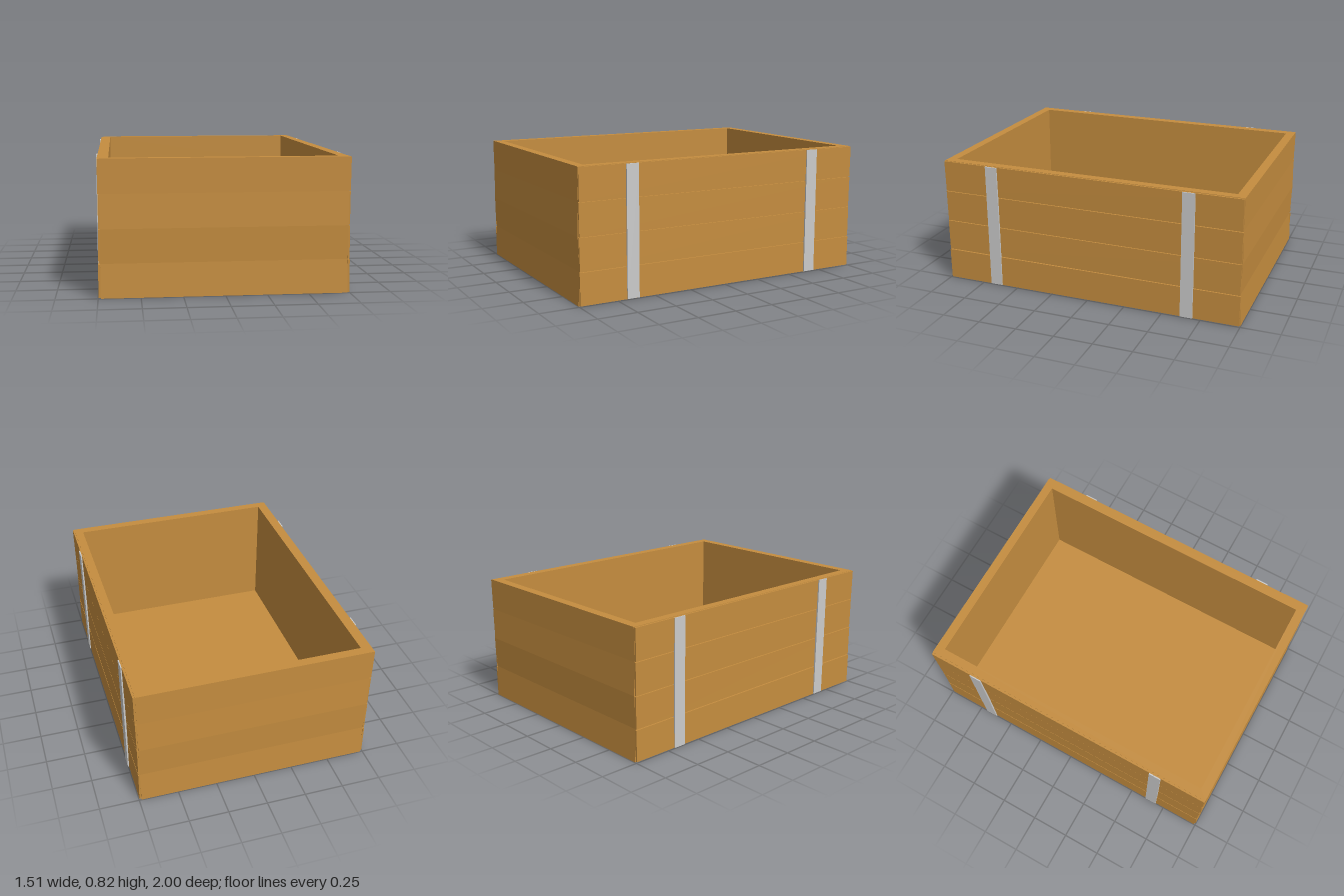
import * as THREE from 'three';

const H = 0.82, HALF_X = 0.735, HALF_Z = 0.995;
const wood = new THREE.MeshStandardMaterial({ color: 0xc58d3f, flatShading: true });
const metal = new THREE.MeshStandardMaterial({ color: 0xcccccc, flatShading: true });

// small repeatable wobble in -1..1
const wobble = (a, b, c) => Math.sin(a * 12.9 + b * 78.2 + c * 37.7);

function add(parent, name, geometry, material, x = 0, y = 0, z = 0) {
  const mesh = new THREE.Mesh(geometry, material);
  mesh.name = name;
  mesh.position.set(x, y, z);
  parent.add(mesh);
  return mesh;
}

function rectangle(target, x, z) {
  target.moveTo(-x, -z);
  target.lineTo(x, -z);
  target.lineTo(x, z);
  target.lineTo(-x, z);
  target.closePath();
  return target;
}

// Hollow rim of four walls, its end faces slightly uneven from board to board
function wallsGeometry() {
  const shape = rectangle(new THREE.Shape(), HALF_X, HALF_Z);
  shape.holes.push(rectangle(new THREE.Path(), 0.68, 0.935));
  const geo = new THREE.ExtrudeGeometry(shape, { depth: H, steps: 4, bevelEnabled: false });
  geo.rotateX(-Math.PI / 2);
  const p = geo.attributes.position;
  const offsets = [0.004, -0.006, 0.002, -0.003, -0.002];
  for (let i = 0; i < p.count; i++) {
    const z = p.getZ(i);
    if (Math.abs(z) > 0.96) {
      const row = Math.round(p.getY(i) / H * 4);
      p.setZ(i, z + Math.sign(z) * offsets[row]);
    }
  }
  geo.computeVertexNormals();
  return geo;
}

// Side plank with slightly shifted corners
function plankGeometry(side, row) {
  const geo = new THREE.BoxGeometry(0.012, H / 4 - 0.004, HALF_Z * 2 - 0.004);
  const p = geo.attributes.position;
  for (let i = 0; i < p.count; i++) {
    const x = p.getX(i), y = Math.sign(p.getY(i)), z = Math.sign(p.getZ(i));
    if (x * side > 0) p.setX(i, x + side * 0.003 * wobble(y + row * 3, z, side));
    p.setY(i, p.getY(i) - y * 0.0015 * (1 + wobble(z + row, y, side)));
    p.setZ(i, p.getZ(i) + z * 0.003 * wobble(row, y, side * z));
  }
  geo.computeVertexNormals();
  return geo;
}

export function createModel() {
  const crate = new THREE.Group();
  crate.name = 'crate';

  add(crate, 'walls', wallsGeometry(), wood);
  add(crate, 'floor', new THREE.BoxGeometry(1.365, 0.05, 1.875), wood, 0, 0.025, 0);

  for (const side of [-1, 1]) {
    const group = new THREE.Group();
    group.name = side > 0 ? 'leftSide' : 'rightSide';
    crate.add(group);
    // Four boards stacked up each long side
    for (let row = 0; row < 4; row++) {
      add(group, 'plank', plankGeometry(side, row), wood, side * (HALF_X + 0.006), H / 4 * (row + 0.5), 0);
    }
    // Upright metal straps
    for (const z of [0.65, -0.66]) {
      add(group, 'strap', new THREE.BoxGeometry(0.02, 0.812, 0.08), metal, side * 0.745, 0.411, z);
    }
  }
  return crate;
}
